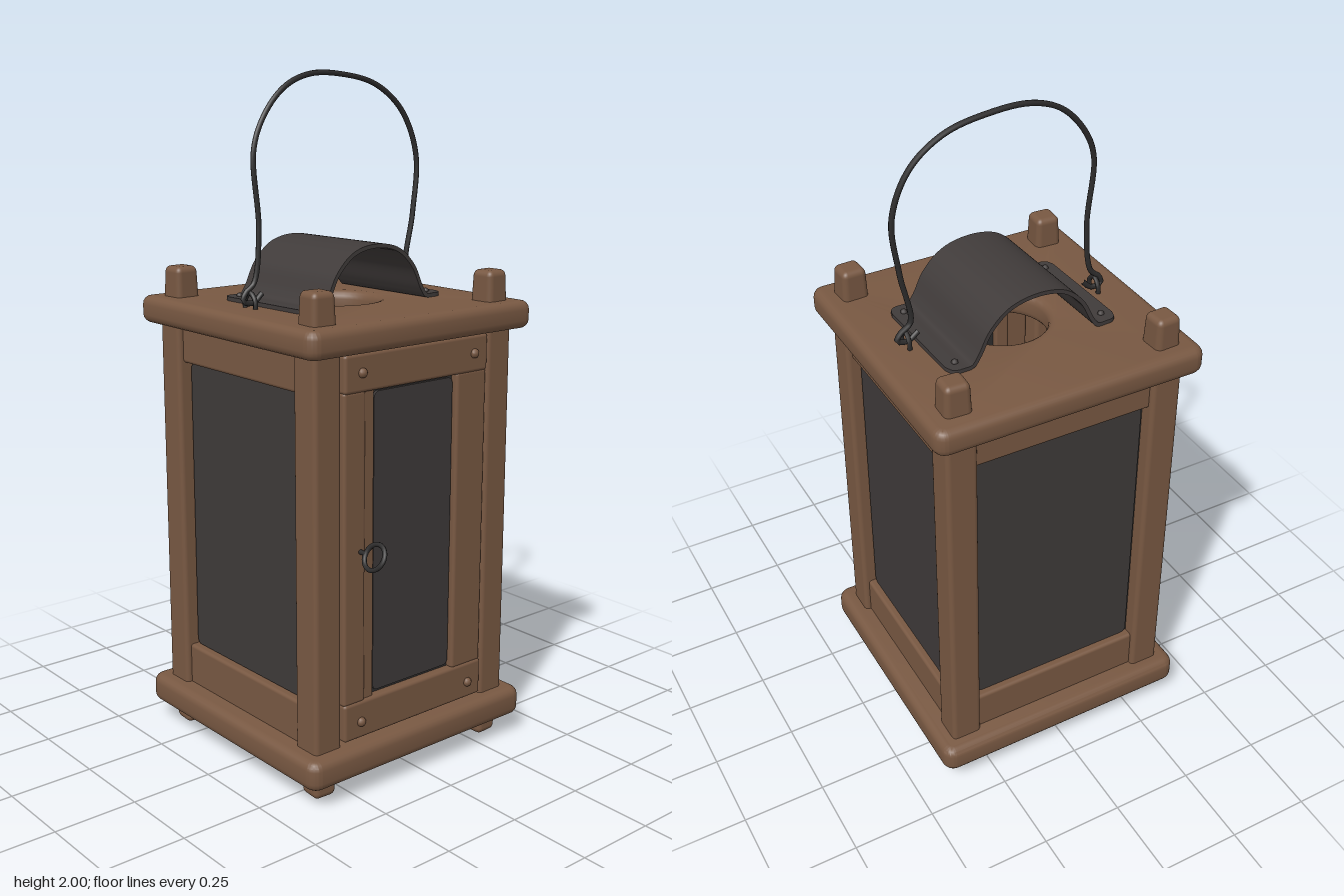
import * as THREE from 'three';
import { toCreasedNormals } from 'three/addons/utils/BufferGeometryUtils.js';
import { RoundedBoxGeometry } from 'three/addons/geometries/RoundedBoxGeometry.js';

const wood = new THREE.MeshStandardMaterial({ color: 0x785842 });
wood.name = 'wood';
const iron = new THREE.MeshStandardMaterial({ color: 0x403b3a });
iron.name = 'sheet iron';
const wire = new THREE.MeshStandardMaterial({ color: 0x2d2c2c });
wire.name = 'dark wire';
const glass = new THREE.MeshStandardMaterial({ color: 0x3e3a39 });
glass.name = 'smoked glass';

const CZ = -0.027; // centre of the body in z

function add(parent, name, geometry, material, x = 0, y = 0, z = 0) {
  const mesh = new THREE.Mesh(geometry, material);
  mesh.name = name;
  mesh.position.set(x, y, z);
  parent.add(mesh);
  return mesh;
}

// Box given by its limits, with softened edges
function block(parent, name, material, x0, x1, y0, y1, z0, z1, r = 0.01) {
  const g = new RoundedBoxGeometry(x1 - x0, y1 - y0, z1 - z0, 2, r);
  return add(parent, name, g, material, (x0 + x1) / 2, (y0 + y1) / 2, (z0 + z1) / 2);
}

// Rounded rectangle outline
function roundedRect(w, h, r) {
  const s = new THREE.Shape();
  s.moveTo(-w / 2 + r, -h / 2);
  s.lineTo(w / 2 - r, -h / 2).quadraticCurveTo(w / 2, -h / 2, w / 2, -h / 2 + r);
  s.lineTo(w / 2, h / 2 - r).quadraticCurveTo(w / 2, h / 2, w / 2 - r, h / 2);
  s.lineTo(-w / 2 + r, h / 2).quadraticCurveTo(-w / 2, h / 2, -w / 2, h / 2 - r);
  s.lineTo(-w / 2, -h / 2 + r).quadraticCurveTo(-w / 2, -h / 2, -w / 2 + r, -h / 2);
  return s;
}

// Square board with rounded rim, optionally with a vent hole
function board(y0, y1, holeRadius) {
  const b = 0.025;
  const s = roundedRect(0.825 - 2 * b, 0.825 - 2 * b, 0.015);
  if (holeRadius) s.holes.push(new THREE.Path().absarc(0, 0, holeRadius + b, 0, Math.PI * 2, true));
  const g = new THREE.ExtrudeGeometry(s, {
    depth: y1 - y0 - 2 * b, bevelSize: b, bevelThickness: b, bevelSegments: 4, curveSegments: 24,
  });
  g.rotateX(-Math.PI / 2).translate(0, y0 + b, CZ);
  return toCreasedNormals(g, 0.7);
}

// Peg narrowing towards its end; dir is +1 upwards or -1 downwards
function peg(w, h, dir) {
  const g = new RoundedBoxGeometry(w, h, w, 3, 0.018);
  const p = g.attributes.position;
  for (let i = 0; i < p.count; i++) {
    const k = 1 - 0.14 * (0.5 + dir * p.getY(i) / h);
    p.setXYZ(i, p.getX(i) * k, p.getY(i), p.getZ(i) * k);
  }
  return g;
}

// Sheet bent along a profile, with its four corners rounded off
function bentSheet(curve, depth, thickness, r) {
  const g = new THREE.BoxGeometry(1, thickness, depth, 100, 1, 1);
  const p = g.attributes.position;
  const length = curve.getLength();
  for (let i = 0; i < p.count; i++) {
    const u = THREE.MathUtils.clamp(p.getX(i) + 0.5, 0, 1);
    const c = curve.getPointAt(u), t = curve.getTangentAt(u);
    const off = p.getY(i);
    const d = Math.max(0, r - Math.min(u, 1 - u) * length);
    const half = depth / 2 - r + Math.sqrt(r * r - d * d);
    p.setXYZ(i, c.x - t.y * off, c.y + t.x * off, Math.sign(p.getZ(i)) * half);
  }
  g.computeVertexNormals();
  return g;
}

// Wall with two rails and a pane, facing +z at distance d from the centre
function wall(parent, name, d, angle) {
  const g = new THREE.Group();
  g.name = name;
  block(g, 'lowerRail', wood, -0.28, 0.28, 0.14, 0.27, d - 0.05, d);
  block(g, 'upperRail', wood, -0.28, 0.28, 1.16, 1.28, d - 0.05, d);
  add(g, 'paneEdge', new THREE.BoxGeometry(0.55, 0.9, 0.008), wire, 0, 0.715, d - 0.034);
  const pane = new THREE.ExtrudeGeometry(roundedRect(0.53, 0.885, 0.02), { depth: 0.008, bevelEnabled: false });
  add(g, 'pane', pane, glass, 0, 0.715, d - 0.03);
  g.rotation.y = angle;
  g.position.z = CZ;
  parent.add(g);
}

export function createModel() {
  const lantern = new THREE.Group();
  lantern.name = 'lantern';

  // Base and roof boards
  add(lantern, 'baseBoard', board(0.06, 0.147, 0), wood);
  add(lantern, 'roofBoard', board(1.272, 1.352, 0.13), wood);

  // Corner posts with pegs through the roof and feet below
  for (const sx of [-1, 1]) for (const sz of [-1, 1]) {
    const x = sx * 0.32, z = CZ + sz * 0.319;
    block(lantern, 'cornerPost', wood, x - 0.047, x + 0.047, 0.13, 1.29, z - 0.047, z + 0.047, 0.014);
    add(lantern, 'roofPeg', peg(0.084, 0.14, 1), wood, x, 1.371, z).rotation.y = sx * sz * 0.05;
    add(lantern, 'foot', peg(0.082, 0.1, -1), wood, x, 0.05, z).rotation.y = sx * 0.05;
  }

  // Glazed side and back walls
  wall(lantern, 'leftWall', 0.35, Math.PI / 2);
  wall(lantern, 'rightWall', 0.35, -Math.PI / 2);
  wall(lantern, 'backWall', 0.35, Math.PI);

  // Door
  const door = new THREE.Group();
  door.name = 'door';
  lantern.add(door);
  block(door, 'doorLowerRail', wood, -0.268, 0.267, 0.155, 0.268, 0.295, 0.345);
  block(door, 'doorUpperRail', wood, -0.268, 0.267, 1.16, 1.268, 0.295, 0.345);
  block(door, 'doorRightStile', wood, -0.268, -0.19, 0.262, 1.166, 0.295, 0.341);
  block(door, 'doorRightRebate', wood, -0.198, -0.155, 0.262, 1.166, 0.29, 0.334, 0.006);
  block(door, 'doorLeftStile', wood, 0.15, 0.267, 0.262, 1.166, 0.295, 0.341);
  add(door, 'doorPaneEdge', new THREE.BoxGeometry(0.315, 0.9, 0.008), wire, -0.002, 0.715, 0.314);
  const pane = new THREE.ExtrudeGeometry(roundedRect(0.295, 0.875, 0.02), { depth: 0.008, bevelEnabled: false });
  add(door, 'doorPane', pane, glass, -0.002, 0.715, 0.318);
  for (const x of [-0.208, 0.212]) for (const y of [0.206, 1.215]) {
    const nail = add(door, 'doorNail', new THREE.SphereGeometry(0.014, 12, 8), wood, x, y, 0.346);
    nail.scale.z = 0.9;
  }

  // Ring pull on the door
  const pull = new THREE.Group();
  pull.name = 'ringPull';
  pull.position.set(-0.21, 0.712, 0.4);
  add(pull, 'ring', new THREE.TorusGeometry(0.037, 0.007, 8, 28).rotateY(Math.PI / 2), wire);
  add(pull, 'ringShank', new THREE.CylinderGeometry(0.007, 0.007, 0.04, 8).rotateX(Math.PI / 2), wire, 0, 0, -0.055);
  pull.rotation.z = -0.5;
  lantern.add(pull);

  // Arched smoke hood over the vent
  const hood = new THREE.Group();
  hood.name = 'smokeHood';
  hood.position.z = CZ;
  hood.rotation.y = 0.035;
  lantern.add(hood);
  const half = [[0.268, 1.358], [0.235, 1.358], [0.2, 1.36], [0.18, 1.385], [0.145, 1.45], [0.085, 1.502]];
  const profile = new THREE.CatmullRomCurve3([
    ...half.map(([x, y]) => new THREE.Vector3(-x, y, 0)),
    new THREE.Vector3(0, 1.519, 0),
    ...half.slice().reverse().map(([x, y]) => new THREE.Vector3(x, y, 0)),
  ]);
  add(hood, 'hoodSheet', bentSheet(profile, 0.366, 0.012, 0.03), iron);
  for (const x of [-0.235, 0.235]) for (const z of [-0.145, 0.145]) {
    add(hood, 'hoodRivet', new THREE.SphereGeometry(0.01, 10, 6), iron, x, 1.364, z);
  }

  // Staples that hold the handle
  for (const x of [-0.302, 0.3]) {
    const staple = new THREE.CatmullRomCurve3([[1.335, -0.023], [1.375, -0.023], [1.395, 0], [1.375, 0.023], [1.335, 0.023]]
      .map(([y, z]) => new THREE.Vector3(x, y, CZ + z)));
    add(lantern, 'staple', new THREE.TubeGeometry(staple, 16, 0.007, 8), wire);
  }

  // Hand-bent wire handle with hooked ends
  const path = new THREE.CatmullRomCurve3([
    [-0.262, 1.39, -0.027], [-0.29, 1.365, -0.03], [-0.322, 1.372, -0.032], [-0.315, 1.395, -0.032],
    [-0.288, 1.42, -0.028], [-0.27, 1.57, -0.026], [-0.278, 1.78, -0.035], [-0.24, 1.87, -0.042],
    [-0.165, 1.95, -0.047], [-0.07, 1.988, -0.052], [0.05, 1.988, -0.052], [0.18, 1.957, -0.047],
    [0.275, 1.88, -0.04], [0.327, 1.75, -0.034], [0.31, 1.58, -0.028], [0.284, 1.42, -0.027],
    [0.315, 1.395, -0.028], [0.328, 1.375, -0.03], [0.295, 1.365, -0.03], [0.262, 1.385, -0.027],
  ].map((p) => new THREE.Vector3(...p)));
  add(lantern, 'handle', new THREE.TubeGeometry(path, 140, 0.008, 8), wire);

  return lantern;
}
